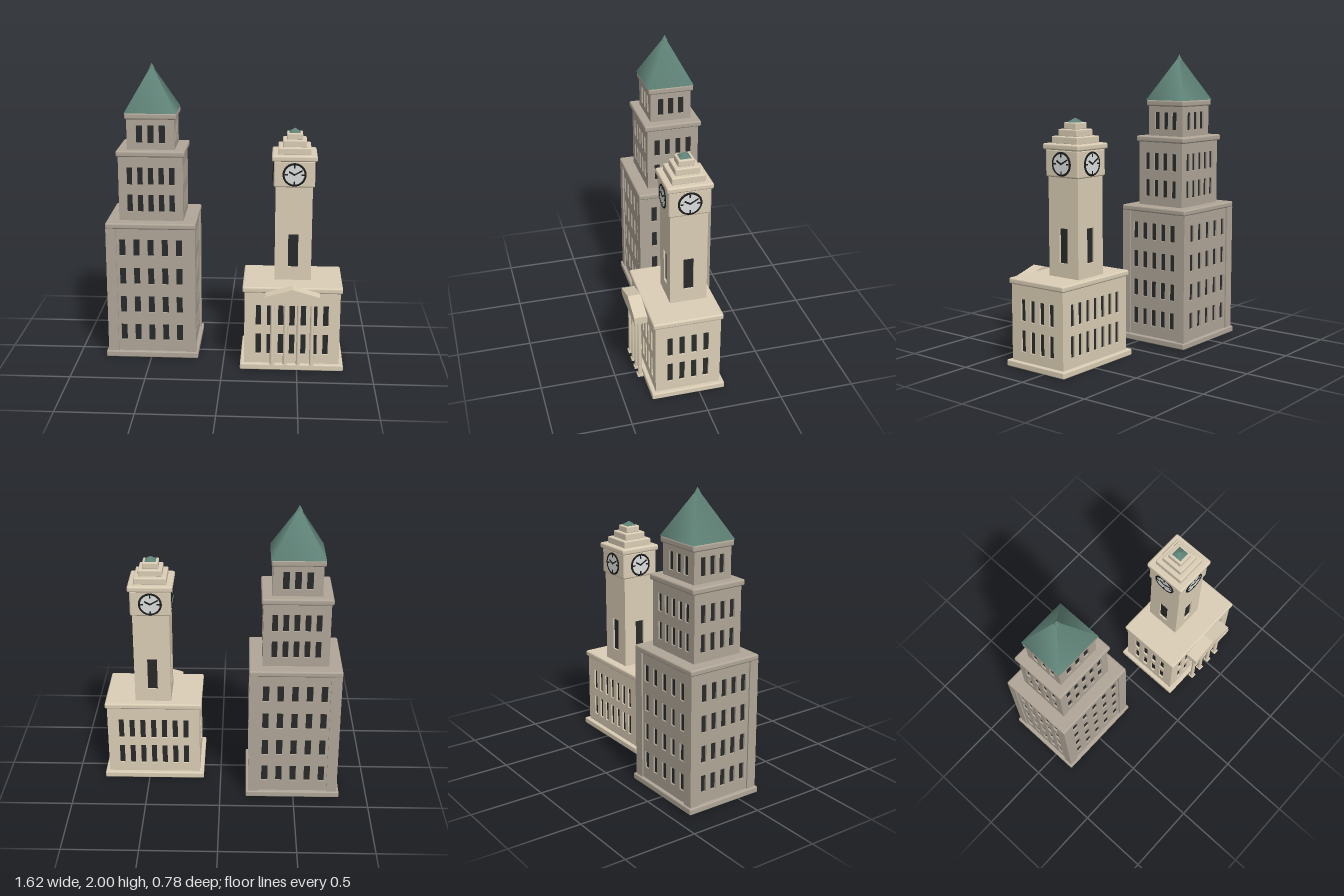
import * as THREE from 'three';
import { RoundedBoxGeometry } from 'three/addons/geometries/RoundedBoxGeometry.js';

const material = (name, color) => {
  const m = new THREE.MeshStandardMaterial({ color });
  m.name = name;
  return m;
};

const REVEAL = 0.012; // depth of the window openings

export function createModel() {
  const greyStone = material('grey stone', 0xb0a698);
  const creamStone = material('cream stone', 0xdbceb6);
  const copper = material('green copper', 0x5f8277);
  const glass = material('dark glass', 0x292a2b);
  const dial = material('clock dial', 0xdcdddd);
  const black = material('clock black', 0x1c1d1e);

  const add = (parent, name, geometry, mat, x = 0, y = 0, z = 0) => {
    const mesh = new THREE.Mesh(geometry, mat);
    mesh.name = name;
    mesh.position.set(x, y, z);
    parent.add(mesh);
    return mesh;
  };
  const group = (parent, name, x = 0, y = 0, z = 0) => {
    const g = new THREE.Group();
    g.name = name;
    g.position.set(x, y, z);
    parent.add(g);
    return g;
  };

  // Centred block between two heights, optionally with softened edges
  const block = (parent, name, mat, w, d, y0, y1, round = 0) => {
    const h = y1 - y0;
    const geometry = round ? new RoundedBoxGeometry(w, h, d, 3, round) : new THREE.BoxGeometry(w, h, d);
    return add(parent, name, geometry, mat, 0, (y0 + y1) / 2, 0);
  };

  // Softly shaded four-sided roof
  const pyramid = (parent, name, w, d, y0, y1) => {
    const geometry = new THREE.ConeGeometry(Math.SQRT1_2, 1, 4).rotateY(Math.PI / 4).scale(w, y1 - y0, d);
    return add(parent, name, geometry, copper, 0, (y0 + y1) / 2, 0);
  };

  // Calls build(face, isSide) for each wall, with z = 0 on the wall surface
  const onFourWalls = (parent, name, w, d, build) => {
    for (let k = 0; k < 4; k++) {
      const pivot = group(parent, name);
      pivot.rotation.y = (k * Math.PI) / 2;
      build(group(pivot, name + 'Face', 0, 0, (k % 2 ? w : d) / 2), k % 2 === 1);
    }
  };

  const rectangle = (Type, x, y, w, h) =>
    new Type([[-w, -h], [w, -h], [w, h], [-w, h]].map(([a, b]) => new THREE.Vector2(x + a / 2, y + b / 2)));

  // Walls pierced by a window grid over a dark glass core;
  // front and side each give [columns, spacing, opening width]
  const windowedTier = (parent, name, mat, w, d, y0, y1, rows, height, front, side) => {
    block(parent, name + 'Glass', glass, w - 2 * REVEAL, d - 2 * REVEAL, y0, y1);
    onFourWalls(parent, name, w, d, (face, isSide) => {
      const [count, step, width] = isSide ? side : front;
      const wall = rectangle(THREE.Shape, 0, (y0 + y1) / 2, isSide ? d - 2 * REVEAL : w, y1 - y0);
      for (const y of rows)
        for (let i = 0; i < count; i++)
          wall.holes.push(rectangle(THREE.Path, (i - (count - 1) / 2) * step, y, width, height));
      const geometry = new THREE.ExtrudeGeometry(wall, { depth: REVEAL, bevelEnabled: false });
      add(face, name + 'Wall', geometry, mat, 0, 0, -REVEAL);
    });
  };

  const model = new THREE.Group();
  model.name = 'towerBuildings';

  // Tall office tower
  const tall = group(model, 'tallTower', -0.494, 0, -0.116);
  block(tall, 'tallBase', greyStone, 0.635, 0.55, 0, 0.042, 0.008);
  windowedTier(tall, 'lowerTier', greyStone, 0.584, 0.502, 0.035, 0.93,
    [0.178, 0.381, 0.585, 0.788], 0.116, [5, 0.096, 0.042], [5, 0.077, 0.039]);
  for (const sx of [-1, 1])
    for (const sz of [-1, 1]) {
      const pier = block(tall, 'cornerPier', greyStone, 0.07, 0.064, 0.035, 0.922);
      pier.position.x = sx * 0.267;
      pier.position.z = sz * 0.23;
    }
  block(tall, 'lowerCornice', greyStone, 0.61, 0.53, 0.92, 0.96, 0.012);
  windowedTier(tall, 'middleTier', greyStone, 0.434, 0.36, 0.95, 1.41,
    [1.08, 1.267], 0.118, [5, 0.071, 0.037], [4, 0.074, 0.037]);
  block(tall, 'middleCornice', greyStone, 0.461, 0.4, 1.4, 1.441, 0.012);
  windowedTier(tall, 'upperTier', greyStone, 0.32, 0.283, 1.43, 1.66,
    [1.545], 0.12, [3, 0.076, 0.042], [3, 0.071, 0.038]);
  block(tall, 'upperCornice', greyStone, 0.346, 0.314, 1.645, 1.688, 0.012);
  pyramid(tall, 'tallRoof', 0.346, 0.318, 1.686, 1.988);
  add(tall, 'roofFinial', new THREE.ConeGeometry(0.021, 0.038, 8), copper, 0, 1.981, 0);

  // Courthouse block
  const court = group(model, 'courthouse', 0.464, 0, 0.072);
  block(court, 'courtBase', creamStone, 0.692, 0.49, 0, 0.042, 0.008);
  windowedTier(court, 'courtBody', creamStone, 0.636, 0.434, 0.035, 0.55,
    [0.178, 0.381], 0.143, [7, 0.0746, 0.036], [4, 0.08, 0.037]);
  block(court, 'courtCornice', creamStone, 0.664, 0.464, 0.543, 0.583, 0.012);

  // Portico with columns and pediment
  const portico = group(model, 'portico', 0.464, 0, 0.349);
  block(portico, 'entablature', creamStone, 0.357, 0.086, 0.5, 0.55);
  const gable = new THREE.Shape([[-0.1785, 0], [0.1785, 0], [0, 0.052]].map((p) => new THREE.Vector2(...p)));
  add(portico, 'pediment', new THREE.ExtrudeGeometry(gable, { depth: 0.086, bevelEnabled: false }), creamStone, 0, 0.55, -0.043);
  const shaft = new THREE.CylinderGeometry(0.012, 0.0145, 0.43, 16);
  for (let i = 0; i < 4; i++) {
    const column = group(portico, 'column', (i - 1.5) * 0.0873);
    add(column, 'columnShaft', shaft, creamStone, 0, 0.27, 0);
    block(column, 'columnFoot', creamStone, 0.038, 0.038, 0.046, 0.062);
    block(column, 'columnCapital', creamStone, 0.04, 0.04, 0.483, 0.5);
  }

  // Clock tower
  const tower = group(model, 'clockTower', 0.464, 0, 0.017);
  windowedTier(tower, 'towerShaft', creamStone, 0.245, 0.245, 0.57, 1.24,
    [0.788], 0.227, [1, 0, 0.067], [1, 0, 0.067]);
  block(tower, 'clockChamber', creamStone, 0.272, 0.272, 1.226, 1.404, 0.012);
  block(tower, 'clockCornice', creamStone, 0.298, 0.298, 1.4, 1.44, 0.012);
  block(tower, 'firstStep', creamStone, 0.217, 0.217, 1.435, 1.485, 0.008);
  block(tower, 'secondStep', creamStone, 0.158, 0.158, 1.48, 1.529, 0.008);
  block(tower, 'thirdStep', creamStone, 0.106, 0.106, 1.525, 1.571, 0.008);
  pyramid(tower, 'towerRoof', 0.076, 0.076, 1.57, 1.6);

  // Clocks on all four sides
  const disc = new THREE.CylinderGeometry(0.072, 0.072, 0.006, 40).rotateX(Math.PI / 2);
  const rim = new THREE.TorusGeometry(0.071, 0.0075, 8, 40).scale(1, 1, 0.8);
  const tick = new THREE.BoxGeometry(0.009, 0.02, 0.003);
  onFourWalls(tower, 'clock', 0.272, 0.272, (face) => {
    const clock = group(face, 'clockFace', 0, 1.313, 0.001);
    add(clock, 'dial', disc, dial);
    add(clock, 'clockRim', rim, black);
    // Radial bar at a clockwise angle, starting at a distance from the centre
    const radial = (name, geometry, length, start, angle) => {
      const arm = group(clock, name);
      arm.rotation.z = -angle;
      add(arm, name + 'Bar', geometry, black, 0, start + length / 2, 0.004);
    };
    for (let i = 0; i < 4; i++) radial('tick', tick, 0.02, 0.044, (i * Math.PI) / 2);
    radial('hourHand', new THREE.BoxGeometry(0.011, 0.046, 0.003), 0.046, -0.004, -Math.PI / 3);
    radial('minuteHand', new THREE.BoxGeometry(0.009, 0.064, 0.003), 0.064, -0.004, Math.PI / 3);
  });

  return model;
}
